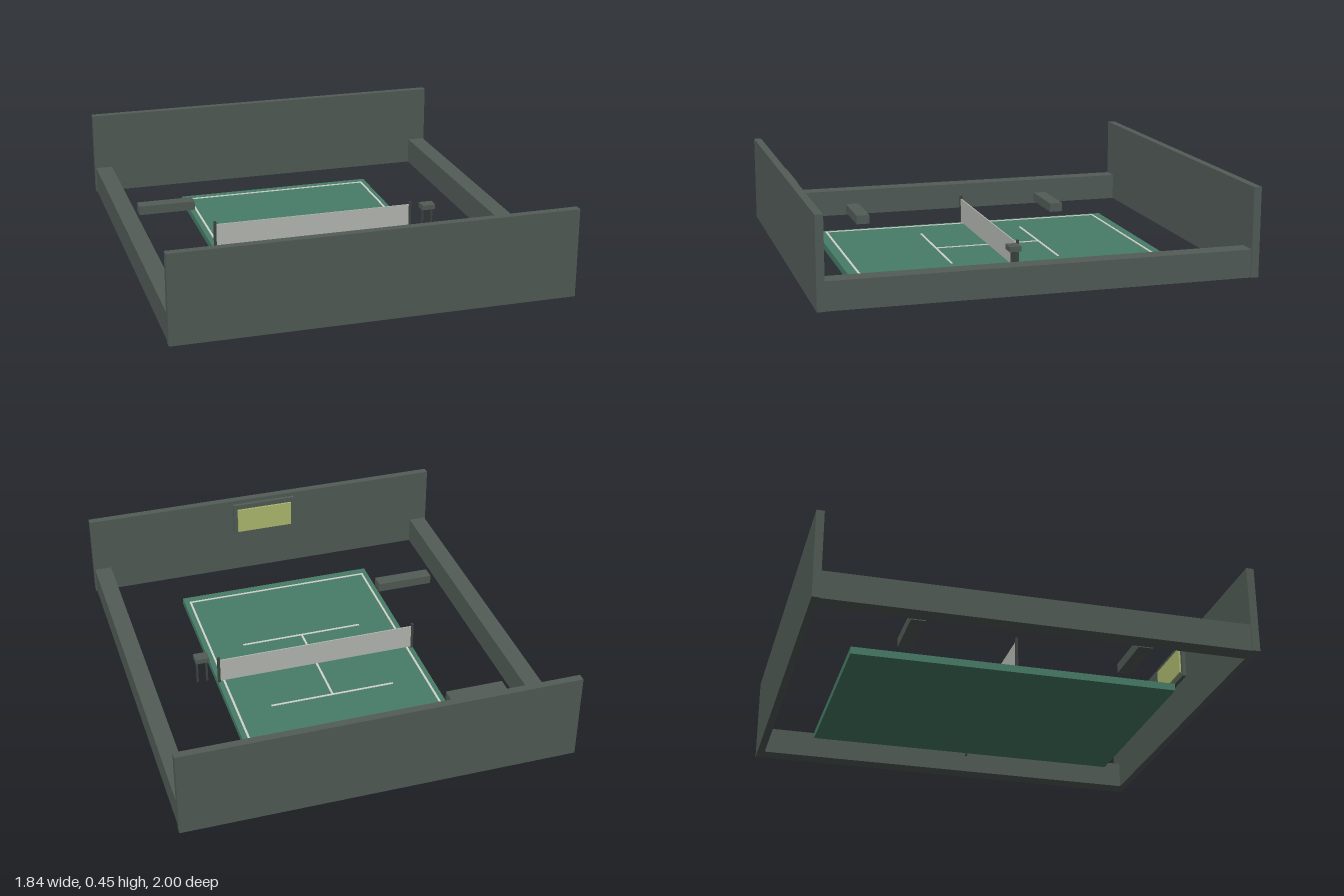
import * as THREE from 'three';

const mat = (name, color) => {
  const m = new THREE.MeshStandardMaterial({ color });
  m.name = name;
  return m;
};

export function createModel() {
  const wall = mat('slate', 0x525c57);
  const dark = mat('dark metal', 0x3c4440);
  const green = mat('court green', 0x487d68);
  const white = mat('line white', 0xd2d5cc);
  const mesh = mat('net grey', 0xb6bab3);
  const lit = mat('board yellow', 0xb0bb70);

  const model = new THREE.Group();
  model.name = 'sportsCourt';

  // Box given by its lower and upper bounds on each axis
  const box = (name, material, [x0, x1], [y0, y1], [z0, z1], parent = model) => {
    const b = new THREE.Mesh(new THREE.BoxGeometry(x1 - x0, y1 - y0, z1 - z0), material);
    b.position.set((x0 + x1) / 2, (y0 + y1) / 2, (z0 + z1) / 2);
    b.name = name;
    parent.add(b);
    return b;
  };
  const group = (name) => {
    const g = new THREE.Group();
    g.name = name;
    model.add(g);
    return g;
  };
  const around = (c, half) => [c - half, c + half];

  // Playing surface
  box('courtFloor', green, [-0.5, 0.5], [0, 0.034], [-0.76, 0.76]);

  // Painted lines: border, service lines and centre line
  const lines = group('courtLines');
  const lineY = [0.034, 0.037], w = 0.005;
  for (const s of [-1, 1]) {
    box('sideLine', white, around(s * 0.47, w), lineY, [-0.715, 0.715], lines);
    box('baseLine', white, [-0.465, 0.465], lineY, around(s * 0.71, w), lines);
    box('serviceLine', white, [-0.305, 0.305], lineY, around(s * 0.26, w), lines);
  }
  box('centreLine', white, around(0, w), lineY, [-0.255, 0.255], lines);

  // Net between two posts
  const net = group('net');
  box('netPanel', mesh, [-0.49, 0.49], [0.04, 0.16], around(0, 0.003), net);
  for (const s of [-1, 1]) box('netPost', dark, around(s * 0.494, 0.006), [0.034, 0.175], around(0, 0.006), net);

  // Tall end walls and low side walls
  for (const s of [-1, 1]) {
    box('endWall', wall, [-0.92, 0.92], [0.035, 0.45], around(s * 0.982, 0.018));
    box('sideWall', wall, around(s * 0.873, 0.042), [0.035, 0.165], [-0.965, 0.965]);
  }

  // Benches
  for (const s of [-1, 1]) box('bench', wall, [-0.775, -0.49], [0.06, 0.105], around(s * 0.517, 0.033));

  // Umpire seat on two thin legs
  const seat = group('umpireSeat');
  box('seatTop', wall, [0.535, 0.602], [0.148, 0.172], [0.015, 0.07], seat);
  for (const x of [0.545, 0.592]) box('seatLeg', dark, around(x, 0.005), [0.025, 0.148], around(0.042, 0.005), seat);

  // Scoreboard on the inner face of the front wall
  const board = group('scoreboard');
  box('boardFrame', wall, [-0.165, 0.165], [0.25, 0.43], [0.946, 0.965], board);
  box('boardFace', lit, [-0.145, 0.145], [0.275, 0.405], [0.937, 0.946], board);

  return model;
}
